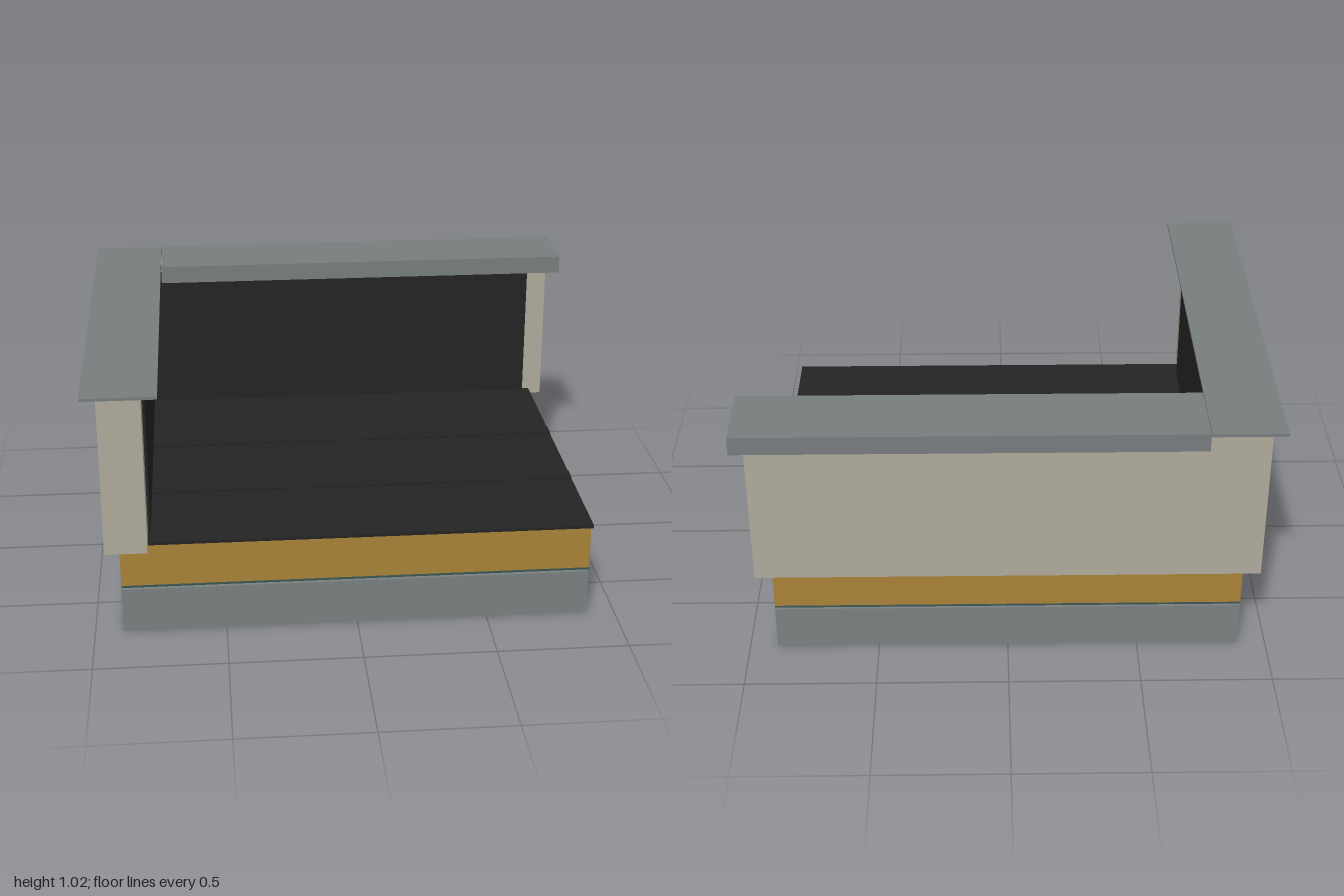
import * as THREE from 'three';

const mat = (name, color) => {
  const m = new THREE.MeshStandardMaterial({ color });
  m.name = name;
  return m;
};

export function createModel() {
  const model = new THREE.Group();
  model.name = 'roofParapetCorner';

  const concrete = mat('concrete grey', 0x7a8080);
  const metal = mat('metal grey', 0x787d7f);
  const vapour = mat('barrier green', 0x3a5450);
  const foam = mat('insulation ochre', 0xaa8338);
  const stone = mat('parapet beige', 0xb0ab9c);
  const bitumen = mat('membrane black', 0x242424);

  // Box given by its extents on each axis
  const slab = (name, material, [x0, x1], [y0, y1], [z0, z1], parent = model) => {
    const mesh = new THREE.Mesh(new THREE.BoxGeometry(x1 - x0, y1 - y0, z1 - z0), material);
    mesh.position.set((x0 + x1) / 2, (y0 + y1) / 2, (z0 + z1) / 2);
    mesh.name = name;
    parent.add(mesh);
    return mesh;
  };

  // Stacked roof layers
  const w = [-0.893, 0.893], d = [-0.772, 0.732];
  slab('concreteSlab', concrete, w, [0, 0.178], d);
  slab('vapourBarrier', vapour, w, [0.186, 0.192], d);
  slab('insulation', foam, w, [0.195, 0.365], d);

  // Parapet walls meeting at the corner
  const wallY = [0.354, 0.983];
  slab('backParapet', stone, [-0.955, 0.955], wallY, [-0.805, -0.647]);
  slab('sideParapet', stone, [-0.947, -0.786], wallY, [-0.647, 0.78]);

  // Waterproof membrane on the floor and turned up both walls
  const membrane = new THREE.Group();
  membrane.name = 'membrane';
  model.add(membrane);
  slab('floorMembrane', bitumen, [-0.786, 0.902], [0.365, 0.376], [-0.647, 0.738], membrane);
  slab('backUpstand', bitumen, [-0.786, 0.872], [0.37, 0.972], [-0.647, -0.637], membrane);
  slab('sideUpstand', bitumen, [-0.786, -0.776], [0.37, 0.972], [-0.647, 0.657], membrane);
  // Overlaps between membrane sheets
  for (const z of [-0.2, 0.25]) {
    slab('membraneLap', bitumen, [-0.776, 0.902], [0.375, 0.382], [z, z + 0.068], membrane);
  }

  // Flat cap on the side wall
  slab('sideCap', metal, [-1, -0.724], [1.005, 1.016], [-0.866, 0.866]);

  // Back cap with lips folded down along both edges
  const cap = new THREE.Group();
  cap.name = 'backCap';
  model.add(cap);
  const capX = [-0.722, 1];
  slab('capTop', metal, capX, [1.005, 1.017], [-0.866, -0.578], cap);
  slab('backLip', metal, capX, [0.945, 1.005], [-0.866, -0.86], cap);
  slab('frontLip', metal, capX, [0.945, 1.005], [-0.584, -0.578], cap);

  return model;
}
